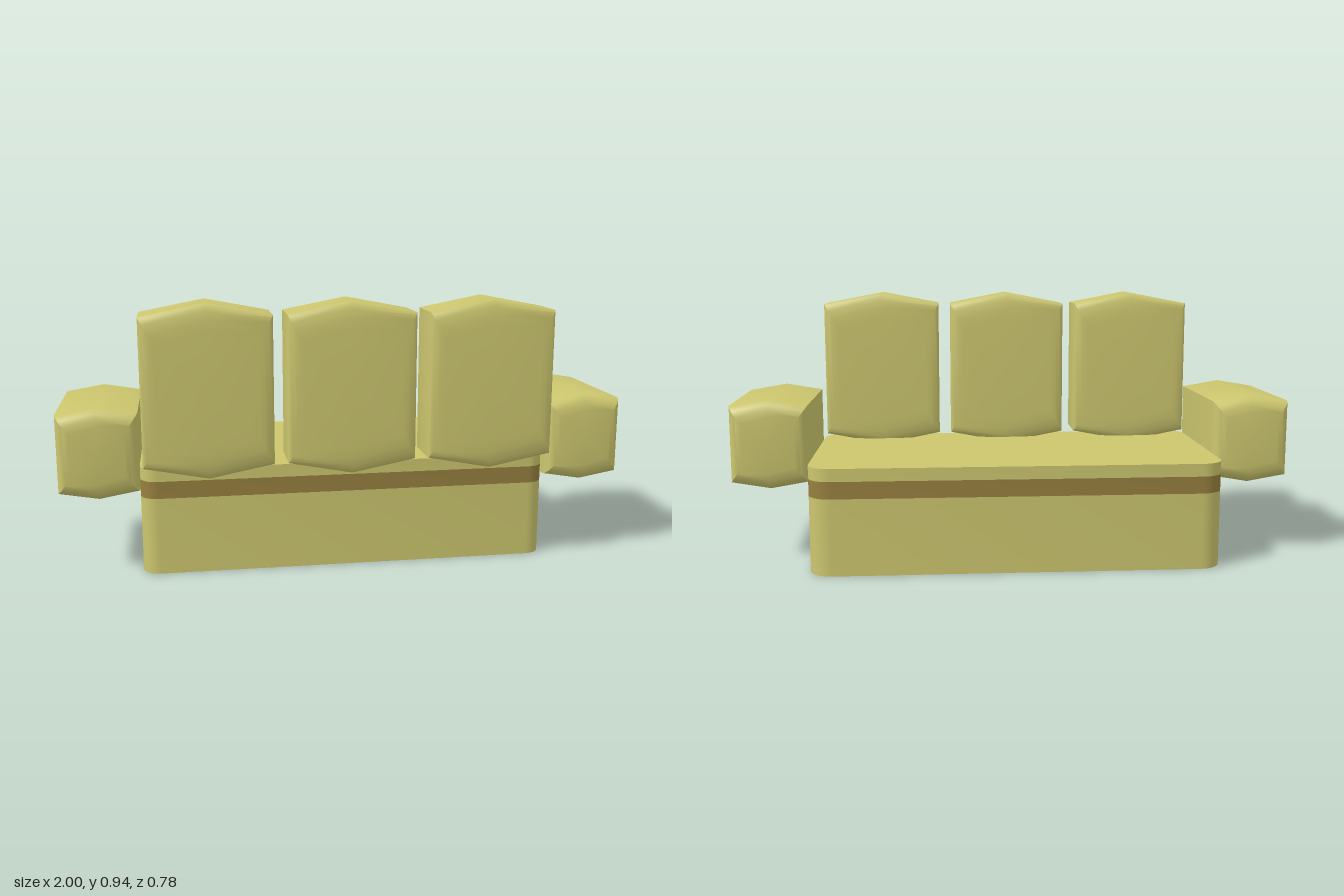
import * as THREE from 'three';
import { toCreasedNormals } from 'three/addons/utils/BufferGeometryUtils.js';

const fabric = new THREE.MeshStandardMaterial({ color: 0xccc66e });
const trim = new THREE.MeshStandardMaterial({ color: 0x97803f });

// Cushion: six-sided section with peaked top and bottom, rounded off at both z ends
function cushionGeometry(w, sideH, peakH, depth, insetX, insetY, roundZ) {
  const steps = 4, rings = [];
  const addRing = (t, sign) => {
    const inset = 1 - Math.cos(t);
    const z = sign * (depth / 2 - roundZ + roundZ * Math.sin(t));
    const x = w / 2 - insetX * inset;
    const s = sideH / 2 - insetY * inset, p = peakH / 2 - insetY * inset;
    rings.push([[-x, -s, z], [0, -p, z], [x, -s, z], [x, s, z], [0, p, z], [-x, s, z]]);
  };
  for (let i = steps; i >= 0; i--) addRing((i / steps) * Math.PI / 2, -1);
  for (let i = 0; i <= steps; i++) addRing((i / steps) * Math.PI / 2, 1);

  const pos = [], index = [];
  for (const ring of rings) for (const p of ring) pos.push(...p);
  for (let r = 0; r < rings.length - 1; r++) {
    for (let k = 0; k < 6; k++) {
      const a = r * 6 + k, b = r * 6 + (k + 1) % 6;
      index.push(a, b, b + 6, a, b + 6, a + 6);
    }
  }
  // End caps
  const last = (rings.length - 1) * 6, back = rings.length * 6, front = back + 1;
  pos.push(0, 0, -depth / 2, 0, 0, depth / 2);
  for (let k = 0; k < 6; k++) {
    const n = (k + 1) % 6;
    index.push(back, n, k, front, last + k, last + n);
  }
  const geo = new THREE.BufferGeometry();
  geo.setAttribute('position', new THREE.Float32BufferAttribute(pos, 3));
  geo.setIndex(index);
  return toCreasedNormals(geo.toNonIndexed(), 0.6);
}

// Horizontal slab of the base with rounded vertical corners
function slabGeometry(x0, x1, z0, z1, height, rFront, rBack) {
  const s = new THREE.Shape();
  const a = -z1, b = -z0; // shape y becomes -z
  s.moveTo(x0 + rFront, a);
  s.lineTo(x1 - rFront, a);
  s.absarc(x1 - rFront, a + rFront, rFront, -Math.PI / 2, 0, false);
  s.lineTo(x1, b - rBack);
  s.absarc(x1 - rBack, b - rBack, rBack, 0, Math.PI / 2, false);
  s.lineTo(x0 + rBack, b);
  s.absarc(x0 + rBack, b - rBack, rBack, Math.PI / 2, Math.PI, false);
  s.lineTo(x0, a + rFront);
  s.absarc(x0 + rFront, a + rFront, rFront, Math.PI, Math.PI * 1.5, false);
  const geo = new THREE.ExtrudeGeometry(s, { depth: height, bevelEnabled: false, curveSegments: 4 });
  geo.rotateX(-Math.PI / 2);
  return toCreasedNormals(geo, 0.6);
}

export function createModel() {
  const group = new THREE.Group();
  const add = (name, geo, mat, x, y, z) => {
    const mesh = new THREE.Mesh(geo, mat);
    mesh.name = name;
    mesh.position.set(x, y, z);
    group.add(mesh);
  };

  // Base in three layers, the middle one a darker band
  const layers = [['base', 0, 0.27, fabric], ['baseBand', 0.27, 0.33, trim], ['seat', 0.33, 0.375, fabric]];
  for (const [name, y0, y1, mat] of layers) {
    add(name, slabGeometry(-0.725, 0.715, -0.39, 0.303, y1 - y0, 0.06, 0.08), mat, 0, y0, 0);
  }

  // Three back cushions
  const backCushion = cushionGeometry(0.44, 0.505, 0.59, 0.206, 0.05, 0.09, 0.022);
  [-0.49, -0.003, 0.483].forEach((x, i) => {
    add('backCushion' + (i + 1), backCushion, fabric, x, 0.648, 0.288);
  });

  // Arm cushions
  const arm = cushionGeometry(0.275, 0.275, 0.322, 0.53, 0.045, 0.06, 0.045);
  add('armLeft', arm, fabric, 0.8625, 0.427, 0.035);
  add('armRight', arm, fabric, -0.8625, 0.427, 0.035);

  return group;
}
